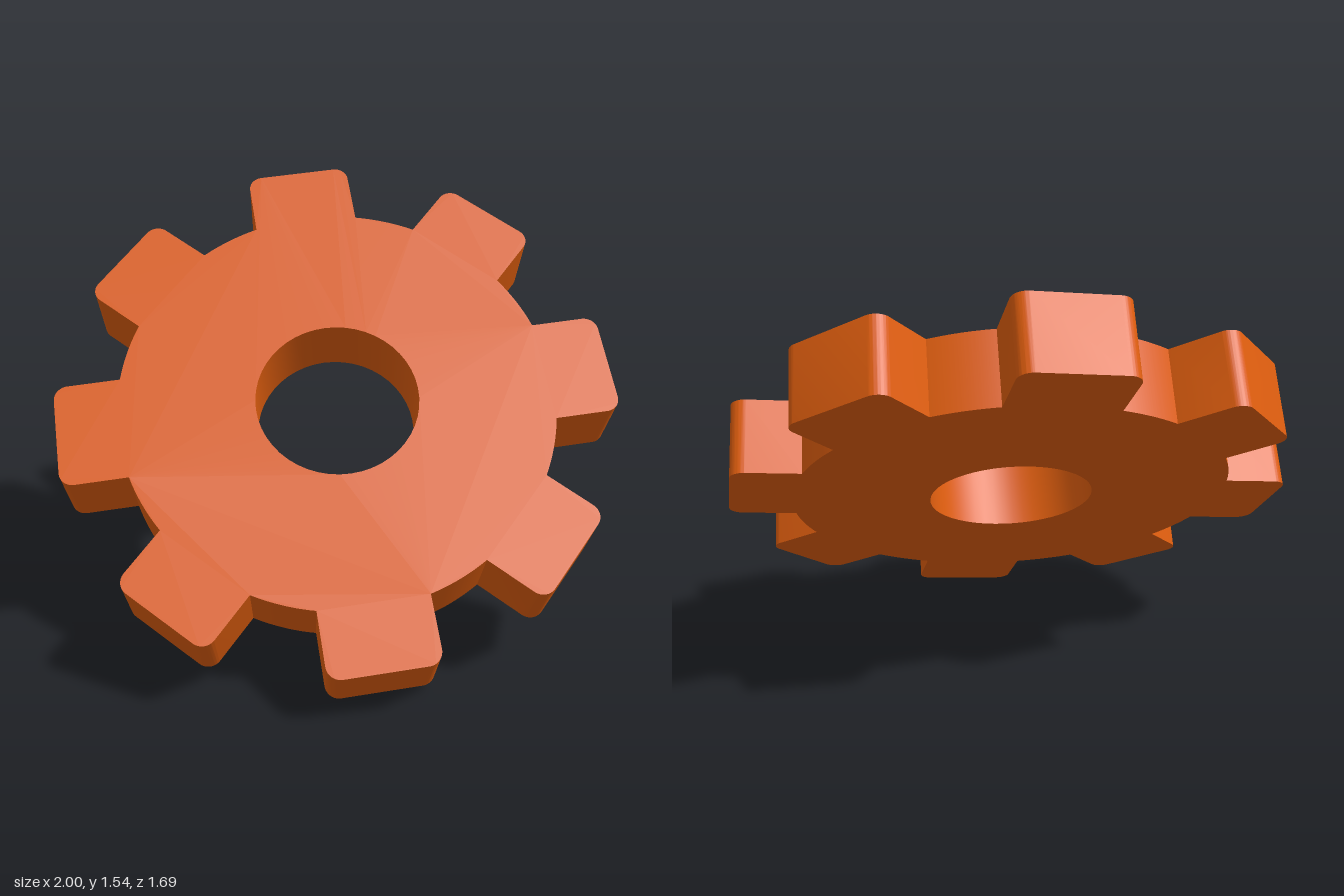
import * as THREE from 'three';
import { toCreasedNormals } from 'three/addons/utils/BufferGeometryUtils.js';

const TEETH = 8;
const TIP = 0.987;      // centre to flat tooth tip
const ROOT = 0.775;     // radius between the teeth
const HALF = 0.19;      // half width of a tooth
const ROUND = 0.05;     // rounding of the tip corners
const BORE = 0.29;
const THICK = 0.266;

// Outline: straight-sided teeth with rounded tips, joined by root arcs
function gearShape() {
  const shape = new THREE.Shape();
  const step = (Math.PI * 2) / TEETH;
  const phi = Math.asin(HALF / ROOT);
  const u = TIP - ROUND, v = HALF - ROUND;
  for (let i = 0; i < TEETH; i++) {
    const a = i * step, c = Math.cos(a), s = Math.sin(a);
    shape.absarc(u * c + v * s, u * s - v * c, ROUND, a - Math.PI / 2, a, false);
    shape.absarc(u * c - v * s, u * s + v * c, ROUND, a, a + Math.PI / 2, false);
    shape.absarc(0, 0, ROOT, a + phi, a + step - phi, false);
  }
  shape.closePath();
  shape.holes.push(new THREE.Path().absarc(0, 0, BORE, 0, Math.PI * 2, true));
  return shape;
}

export function createModel() {
  const group = new THREE.Group();
  const geometry = new THREE.ExtrudeGeometry(gearShape(), {
    depth: THICK, bevelEnabled: false, curveSegments: 24,
  });
  geometry.translate(0, 0, -THICK / 2);

  // Tilt: axle direction and the direction of one tooth
  const axle = new THREE.Vector3(-0.255, 0.739, 0.623).normalize();
  const tooth = new THREE.Vector3(-0.150, -0.667, 0.730);
  tooth.addScaledVector(axle, -tooth.dot(axle)).normalize();
  const side = new THREE.Vector3().crossVectors(axle, tooth);
  geometry.applyMatrix4(new THREE.Matrix4().makeBasis(tooth, side, axle));

  // Stand on the ground
  geometry.computeBoundingBox();
  geometry.translate(0, -geometry.boundingBox.min.y, 0);

  const gear = new THREE.Mesh(
    toCreasedNormals(geometry, Math.PI / 6),
    new THREE.MeshStandardMaterial({ color: 0xd95b0e }),
  );
  gear.name = 'gearWheel';
  group.add(gear);
  return group;
}
